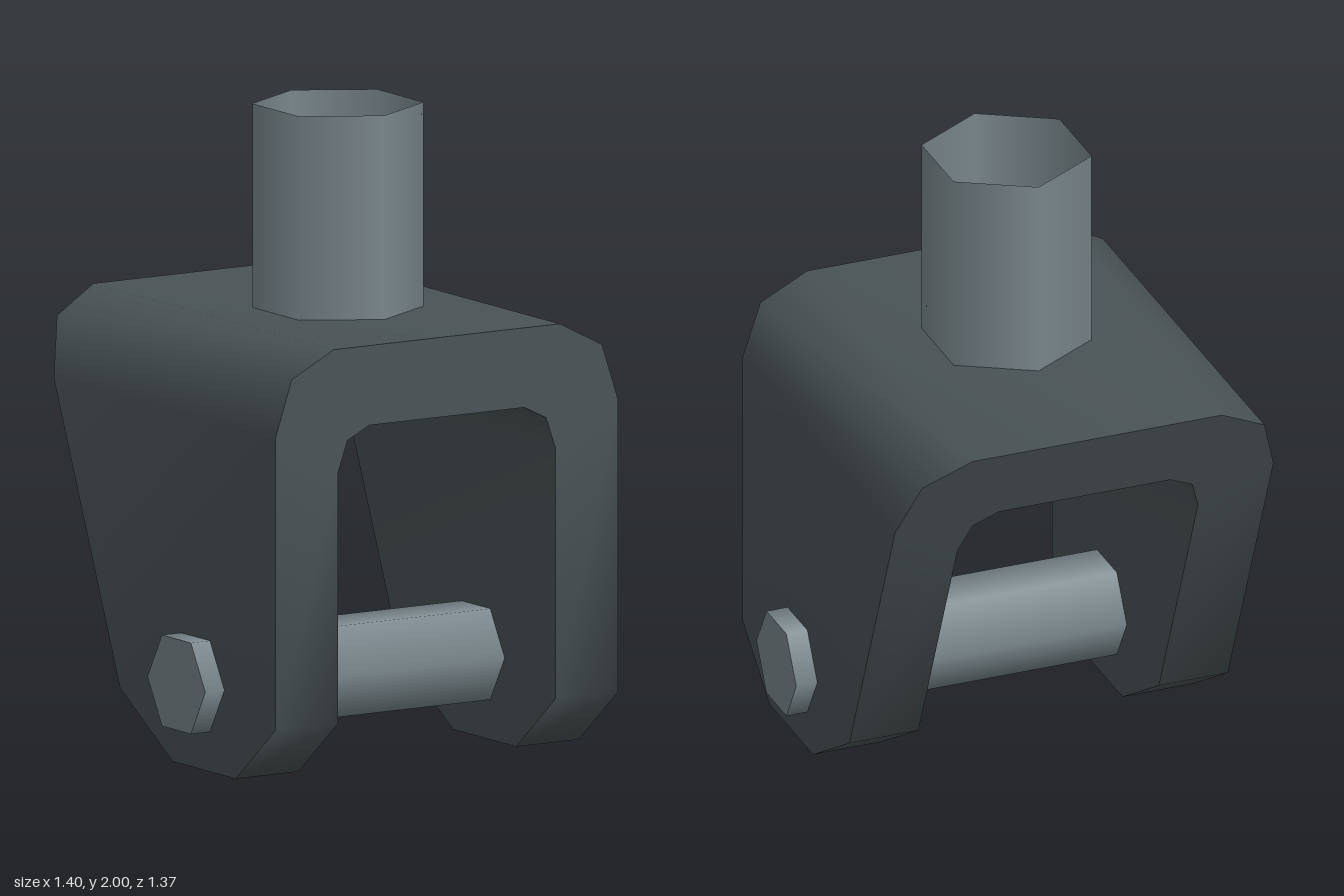
import * as THREE from 'three';
import { toCreasedNormals } from 'three/addons/utils/BufferGeometryUtils.js';

// Front and back limits of the fork at a given height
const KNEE = 0.185;
const frontZ = (y) => (y < KNEE ? THREE.MathUtils.lerp(0.46, 0.685, y / KNEE) : 0.685);
const backZ = (y) => (y < KNEE
  ? THREE.MathUtils.lerp(0.10, -0.20, y / KNEE)
  : THREE.MathUtils.lerp(-0.20, -0.685, (y - KNEE) / (1.36 - KNEE)));

// Sweeps a four-cornered section up one leg, over the bridge and down the other
function forkGeometry() {
  // outer x, outer y, inner x, inner y
  const half = [
    [0.63, 0, 0.40, 0],
    [0.63, KNEE, 0.40, KNEE],
    [0.63, 1.10, 0.40, 0.97],
    [0.57, 1.28, 0.365, 1.07],
    [0.415, 1.36, 0.285, 1.11],
  ];
  const mirrored = half.map(([ox, oy, ix, iy]) => [-ox, oy, -ix, iy]).reverse();
  const stations = [...half, ...mirrored];

  const positions = [];
  const index = [];
  const quad = (a, b, c, d) => index.push(a, b, c, a, c, d);
  stations.forEach(([ox, oy, ix, iy], i) => {
    positions.push(ox, oy, frontZ(oy), ox, oy, backZ(oy));
    positions.push(ix, iy, backZ(iy), ix, iy, frontZ(iy));
    if (i === 0) return;
    const p = (i - 1) * 4;
    for (let k = 0; k < 4; k++) {
      const n = (k + 1) % 4;
      quad(p + k, p + n, p + 4 + n, p + 4 + k);
    }
  });
  // Leg ends
  const last = (stations.length - 1) * 4;
  quad(3, 2, 1, 0);
  quad(last, last + 1, last + 2, last + 3);

  const geometry = new THREE.BufferGeometry();
  geometry.setAttribute('position', new THREE.Float32BufferAttribute(positions, 3));
  geometry.setIndex(index);
  return toCreasedNormals(geometry, 1.0);
}

export function createModel() {
  const darkSteel = new THREE.MeshStandardMaterial({ color: 0x4a5356 });
  darkSteel.name = 'dark steel';
  const paleSteel = new THREE.MeshStandardMaterial({ color: 0x7a878c, side: THREE.DoubleSide });
  paleSteel.name = 'pale steel';

  const group = new THREE.Group();
  group.name = 'forkBracket';
  const add = (name, geometry, material) => {
    const mesh = new THREE.Mesh(geometry, material);
    mesh.name = name;
    group.add(mesh);
    return mesh;
  };

  add('fork', forkGeometry(), darkSteel);

  // Open six-sided tube on the bridge
  add('stem', new THREE.CylinderGeometry(0.265, 0.265, 0.64, 6, 1, true), paleSteel)
    .position.set(0, 1.68, 0.065);

  // Six-sided axle through both legs
  const axle = add('axle', new THREE.CylinderGeometry(0.165, 0.165, 1.4, 6), paleSteel);
  axle.rotation.z = Math.PI / 2;
  axle.position.set(0, 0.268, 0.23);

  return group;
}
